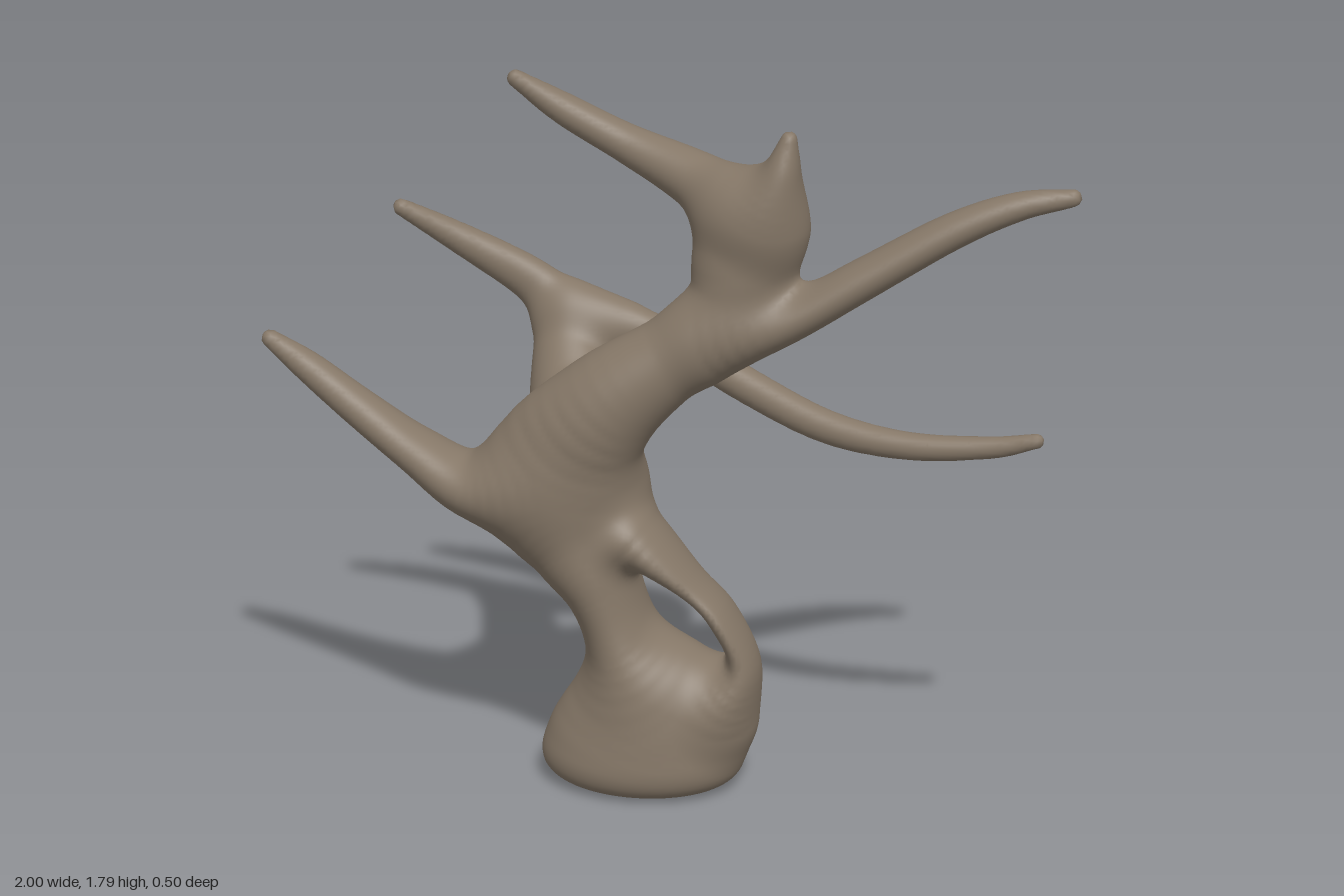
import * as THREE from 'three';
import { mergeVertices } from 'three/addons/utils/BufferGeometryUtils.js';

// Each limb is a tapering path of [x, y, z, radius, depth / width].
const LIMBS = {
  base: [[-0.045, -0.1, 0.062, 0.272, 0.71], [-0.035, 0.06, 0.062, 0.257, 0.72], [0.015, 0.18, 0.065, 0.207, 0.75]],
  trunk: [
    [-0.02, 0.2, 0.065, 0.16, 0.88], [-0.085, 0.38, 0.065, 0.094, 1.55], [-0.137, 0.52, 0.065, 0.092, 1.62],
    [-0.195, 0.65, 0.07, 0.138, 1.1], [-0.25, 0.8, 0.095, 0.18, 0.74], [-0.12, 1.0, 0.112, 0.132, 0.95],
    [0.06, 1.15, 0.1, 0.099, 1.02], [0.175, 1.27, 0.088, 0.102, 0.98], [0.214, 1.38, 0.086, 0.127, 0.78],
    [0.225, 1.46, 0.087, 0.128, 0.77],
  ],
  trunkStrand: [
    [0.15, 0.2, 0.075, 0.1, 1.1], [0.22, 0.34, 0.09, 0.042, 2.1], [0.168, 0.472, 0.096, 0.031, 2.8],
    [0.08, 0.562, 0.096, 0.034, 2.6], [-0.06, 0.675, 0.085, 0.07, 1.7],
  ],
  rightBranch: [
    [-0.27, 0.79, 0.1, 0.14, 0.92], [-0.45, 0.772, 0.1, 0.08, 1.45], [-0.6, 0.846, 0.085, 0.056, 1.45],
    [-0.75, 0.942, 0.068, 0.047, 1.2], [-0.88, 1.034, 0.055, 0.038, 1.1], [-0.978, 1.1, 0.05, 0.022, 1],
  ],
  leftBranch: [
    [0.12, 1.17, 0.1, 0.09, 1], [0.32, 1.243, 0.1, 0.056, 1.5], [0.5, 1.351, 0.088, 0.049, 1.45],
    [0.7, 1.471, 0.07, 0.043, 1.3], [0.85, 1.535, 0.055, 0.034, 1.2], [0.977, 1.56, 0.045, 0.021, 1],
  ],
  topBranch: [
    [0.2, 1.5, 0.07, 0.09, 1], [0.06, 1.555, -0.005, 0.066, 1.1], [-0.1, 1.617, -0.043, 0.047, 1.1],
    [-0.25, 1.694, -0.04, 0.038, 1.1], [-0.36, 1.77, -0.01, 0.021, 1],
  ],
  topSpike: [[0.265, 1.47, 0.1, 0.09, 1], [0.305, 1.6, 0.125, 0.047, 1.3], [0.324, 1.69, 0.135, 0.019, 1.1]],
  backStem: [[-0.18, 0.78, 0.04, 0.15, 1], [-0.24, 0.96, -0.085, 0.112, 0.88], [-0.275, 1.09, -0.165, 0.082, 0.78]],
  backRightBranch: [
    [-0.15, 1.11, -0.175, 0.05, 0.85], [-0.29, 1.16, -0.192, 0.062, 0.75], [-0.4, 1.233, -0.192, 0.053, 0.8],
    [-0.55, 1.322, -0.166, 0.038, 0.95], [-0.682, 1.406, -0.118, 0.021, 1],
  ],
  backLeftBranch: [
    [-0.26, 1.13, -0.183, 0.06, 0.85], [-0.13, 1.12, -0.175, 0.05, 0.9], [0, 1.088, -0.153, 0.045, 0.95],
    [0.2, 1.0, -0.097, 0.044, 0.95], [0.4, 0.932, -0.037, 0.041, 0.95], [0.6, 0.911, 0.003, 0.034, 1],
    [0.8, 0.926, 0.02, 0.027, 1], [0.914, 0.954, 0.032, 0.018, 1],
  ],
};
const BLEND = 0.06;

// Smooth every path into short tapered segments with a bounding box
function makeLimb([name, points]) {
  const smooth = (list) => new THREE.CatmullRomCurve3(list, false, 'catmullrom');
  const centre = smooth(points.map((p) => new THREE.Vector3(p[0], p[1], p[2])));
  const section = smooth(points.map((p) => new THREE.Vector3(p[3], p[4], 0)));
  const steps = (points.length - 1) * 6, rings = [];
  for (let i = 0; i <= steps; i++) {
    const c = centre.getPoint(i / steps), s = section.getPoint(i / steps);
    rings.push([c.x, c.y, c.z, s.x, s.y]);
  }
  const reach = Math.max(...rings.map((r) => r[3] * Math.max(1, r[4]))) + 0.1;
  const lo = [0, 1, 2].map((a) => Math.min(...rings.map((r) => r[a])) - reach);
  const hi = [0, 1, 2].map((a) => Math.max(...rings.map((r) => r[a])) + reach);
  return { name, rings, lo, hi };
}

// Approximate distance to one limb, a chain of flattened round cones
function limbDistance({ rings, lo, hi }, x, y, z) {
  if (x < lo[0] || x > hi[0] || y < lo[1] || y > hi[1] || z < lo[2] || z > hi[2]) return 1;
  let best = 1;
  for (let i = 1; i < rings.length; i++) {
    const a = rings[i - 1], b = rings[i], flat = (a[4] + b[4]) / 2;
    const dx = b[0] - a[0], dy = b[1] - a[1], dz = (b[2] - a[2]) / flat;
    const px = x - a[0], py = y - a[1], pz = (z - a[2]) / flat;
    const len2 = dx * dx + dy * dy + dz * dz, len = Math.sqrt(len2);
    const along = (px * dx + py * dy + pz * dz) / len2;
    const off = Math.sqrt(Math.max(0, px * px + py * py + pz * pz - along * along * len2));
    const taper = Math.min(0.9, Math.max(-0.9, (b[3] - a[3]) / len));
    const t = Math.min(1, Math.max(0, along + (off * taper) / (Math.sqrt(1 - taper * taper) * len)));
    const k = a[4] + (b[4] - a[4]) * t, r = a[3] + (b[3] - a[3]) * t;
    const ex = px - dx * t, ey = py - dy * t, ez = ((pz - dz * t) * flat) / k;
    best = Math.min(best, (Math.sqrt(ex * ex + ey * ey + ez * ez) - r) * Math.min(1, k));
  }
  return best;
}

function smoothMin(a, b, k) {
  const h = Math.max(k - Math.abs(a - b), 0) / k;
  return Math.min(a, b) - h * h * k * 0.25;
}

// All limbs melted together, cut flat at the ground with a soft rim
function treeDistance(limbs, x, y, z) {
  let d = 1;
  for (const limb of limbs) d = smoothMin(d, limbDistance(limb, x, y, z), BLEND);
  return -smoothMin(-d, y, 0.1);
}

export function createModel() {
  const limbs = Object.entries(LIMBS).map(makeLimb);
  const field = (x, y, z) => treeDistance(limbs, x, y, z);

  // Sample the blended shape on a grid
  const h = 0.0125, min = [-1.04, -0.035, -0.3], n = [168, 152, 48];
  const stride = [1, n[0], n[0] * n[1]], total = n[0] * n[1] * n[2];
  const values = new Float32Array(total), vertexOf = new Int32Array(total).fill(-1);
  const eachNode = (visit) => {
    for (let k = 0; k < n[2]; k++) for (let j = 0; j < n[1]; j++) for (let i = 0; i < n[0]; i++) {
      visit([i, j, k], i + j * stride[1] + k * stride[2]);
    }
  };
  eachNode((c, id) => { values[id] = field(min[0] + c[0] * h, min[1] + c[1] * h, min[2] + c[2] * h); });

  const slope = ([x, y, z], e) => [
    field(x + e, y, z) - field(x - e, y, z),
    field(x, y + e, z) - field(x, y - e, z),
    field(x, y, z + e) - field(x, y, z - e),
  ].map((v) => v / (2 * e));

  // One vertex in each cell the surface crosses, pulled onto the surface
  const positions = [], normals = [], owners = [];
  eachNode((c, id) => {
    if (c.some((v, a) => v >= n[a] - 1)) return;
    const sum = [0, 0, 0];
    let hits = 0;
    for (let a = 0; a < 3; a++) {
      const u = (a + 1) % 3, v = (a + 2) % 3;
      for (let m = 0; m < 4; m++) {
        const du = m & 1, dv = m >> 1, at = id + du * stride[u] + dv * stride[v];
        const d0 = values[at], d1 = values[at + stride[a]];
        if ((d0 < 0) === (d1 < 0)) continue;
        sum[a] += d0 / (d0 - d1);
        sum[u] += du;
        sum[v] += dv;
        hits++;
      }
    }
    if (!hits) return;
    const p = sum.map((s, a) => min[a] + (c[a] + s / hits) * h);
    for (let pass = 0; pass < 2; pass++) {
      const g = slope(p, 0.003), d = field(...p);
      const move = d / Math.max(0.2, g[0] * g[0] + g[1] * g[1] + g[2] * g[2]);
      for (let a = 0; a < 3; a++) p[a] -= THREE.MathUtils.clamp(move * g[a], -h / 2, h / 2);
    }
    const g = slope(p, 0.012), len = Math.hypot(...g) || 1;
    vertexOf[id] = owners.length;
    positions.push(...p);
    normals.push(g[0] / len, g[1] / len, g[2] / len);
    const near = limbs.map((limb) => limbDistance(limb, ...p));
    owners.push(near.indexOf(Math.min(...near)));
  });

  // Join neighbouring cells with quads, sorted by the nearest limb
  const faces = limbs.map(() => []);
  eachNode((c, id) => {
    for (let a = 0; a < 3; a++) {
      const u = (a + 1) % 3, v = (a + 2) % 3;
      if (c[a] >= n[a] - 1 || c[u] < 1 || c[v] < 1) continue;
      const inside = values[id] < 0;
      if (inside === (values[id + stride[a]] < 0)) continue;
      const q = [id - stride[u] - stride[v], id - stride[v], id, id - stride[u]].map((cell) => vertexOf[cell]);
      if (q.some((vertex) => vertex < 0)) continue;
      if (!inside) q.reverse();
      faces[owners[q[0]]].push(q[0], q[1], q[2], q[0], q[2], q[3]);
    }
  });

  const bark = new THREE.MeshStandardMaterial({ color: 0x857767 });
  bark.name = 'bark';
  const tree = new THREE.Group();
  tree.name = 'bareTree';
  limbs.forEach(({ name }, i) => {
    if (!faces[i].length) return;
    const geometry = new THREE.BufferGeometry();
    geometry.setAttribute('position', new THREE.Float32BufferAttribute(positions, 3));
    geometry.setAttribute('normal', new THREE.Float32BufferAttribute(normals, 3));
    geometry.setIndex(faces[i]);
    const mesh = new THREE.Mesh(mergeVertices(geometry, 1e-6), bark);
    mesh.name = name;
    tree.add(mesh);
  });
  return tree;
}
